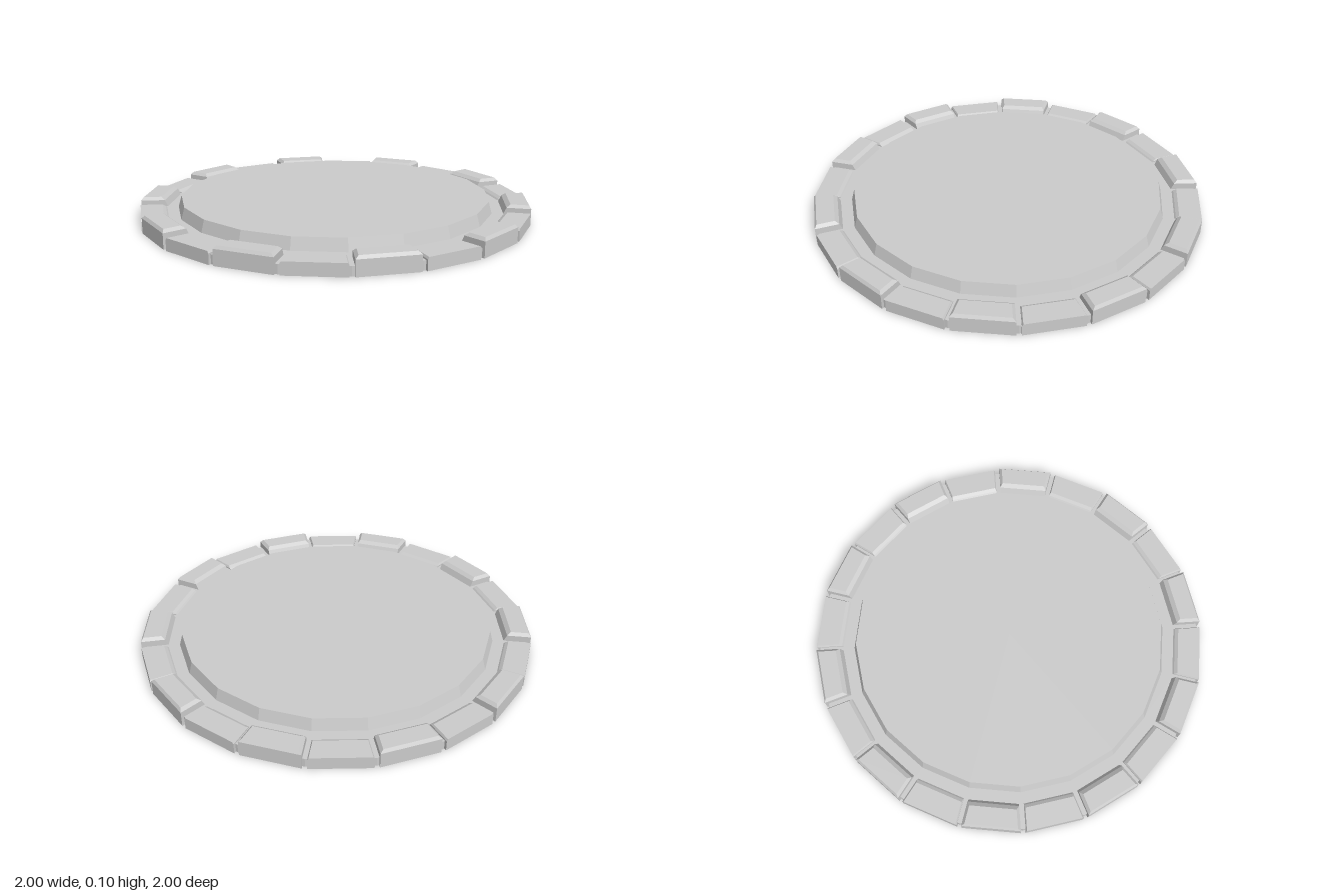
import * as THREE from 'three';

const SIDES = 20;
const STEP = (Math.PI * 2) / SIDES;
const FLOOR = 0.045; // height of the recessed ring and the grooves
const GAP = 0.012; // half the groove width
const RING = 0.865; // radius where the rim blocks start

const material = new THREE.MeshStandardMaterial({
  color: 0xcccccc, flatShading: true, side: THREE.DoubleSide,
});

const corner = (i, r, y) =>
  new THREE.Vector3(r * Math.sin(i * STEP), y, r * Math.cos(i * STEP));

// Point on side i of the polygon of radius r, moved in from its start or end corner
function sidePoint(i, r, y, inset, atEnd) {
  const a = corner(i, r, y), b = corner(i + 1, r, y);
  const dir = b.clone().sub(a).normalize().multiplyScalar(inset);
  return atEnd ? b.sub(dir) : a.add(dir);
}

// Four corners of a block at one height, counterclockwise from above
const blockLoop = (i, rIn, rOut, y, inset) => [
  sidePoint(i, rOut, y, inset, false), sidePoint(i, rOut, y, inset, true),
  sidePoint(i, rIn, y, inset, true), sidePoint(i, rIn, y, inset, false),
];

const quad = (out, a, b, c, d) => out.push(a, b, c, a, c, d);

function meshFrom(points, name) {
  const geometry = new THREE.BufferGeometry().setFromPoints(points);
  geometry.computeVertexNormals();
  const mesh = new THREE.Mesh(geometry, material);
  mesh.name = name;
  return mesh;
}

// Rim block: outer skirt, walls, bevel and top, open underneath
function makeBlock(i) {
  const high = i % 2 === 0;
  const loops = high
    ? [blockLoop(i, RING, 1, FLOOR, GAP),
       blockLoop(i, 0.88, 1, 0.077, GAP),
       blockLoop(i, 0.9, 0.99, 0.092, 0.026)]
    : [blockLoop(i, RING, 1, FLOOR, GAP),
       blockLoop(i, 0.872, 1, 0.052, GAP),
       blockLoop(i, 0.888, 1, 0.062, 0.018)];
  const points = [];
  for (let l = 0; l < loops.length - 1; l++) {
    for (let k = 0; k < 4; k++) {
      const n = (k + 1) % 4;
      quad(points, loops[l][k], loops[l][n], loops[l + 1][n], loops[l + 1][k]);
    }
  }
  quad(points, ...loops[loops.length - 1]);
  const base = blockLoop(i, RING, 1, 0, GAP);
  quad(points, base[0], base[1], loops[0][1], loops[0][0]);
  return meshFrom(points, high ? 'highRimBlock' : 'lowRimBlock');
}

// Groove at corner i: floor strip and a slightly set back outer wall
function makeGroove(i) {
  const back = 0.985, points = [];
  const at = (r, y, end) => end
    ? sidePoint(i, r, y, GAP, false) : sidePoint(i - 1, r, y, GAP, true);
  // two halves, so the strip follows the corner
  for (const end of [false, true]) {
    const p = (r, y) => (end ? [corner(i, r, y), at(r, y, true)] : [at(r, y, false), corner(i, r, y)]);
    const [o0, o1] = p(back, FLOOR), [n0, n1] = p(RING, FLOOR), [b0, b1] = p(back, 0);
    quad(points, o0, o1, n1, n0);
    quad(points, b0, b1, o1, o0);
  }
  // returns joining the set back wall to the block skirts
  quad(points, at(1, 0, false), at(back, 0, false), at(back, FLOOR, false), at(1, FLOOR, false));
  quad(points, at(back, 0, true), at(1, 0, true), at(1, FLOOR, true), at(back, FLOOR, true));
  return meshFrom(points, 'rimGroove');
}

export function createModel() {
  const group = new THREE.Group();
  group.name = 'disc';

  // Raised centre plate, its sloping wall and the recessed ring as one open shell
  const profile = [[RING, FLOOR], [0.807, FLOOR], [0.79, 0.105], [0, 0.105]]
    .map(([r, y]) => new THREE.Vector2(r, y));
  const plate = new THREE.Mesh(new THREE.LatheGeometry(profile, SIDES), material);
  plate.name = 'centrePlate';
  group.add(plate);

  const rim = new THREE.Group();
  rim.name = 'rim';
  for (let i = 0; i < SIDES; i++) rim.add(makeBlock(i), makeGroove(i));
  group.add(rim);
  return group;
}
